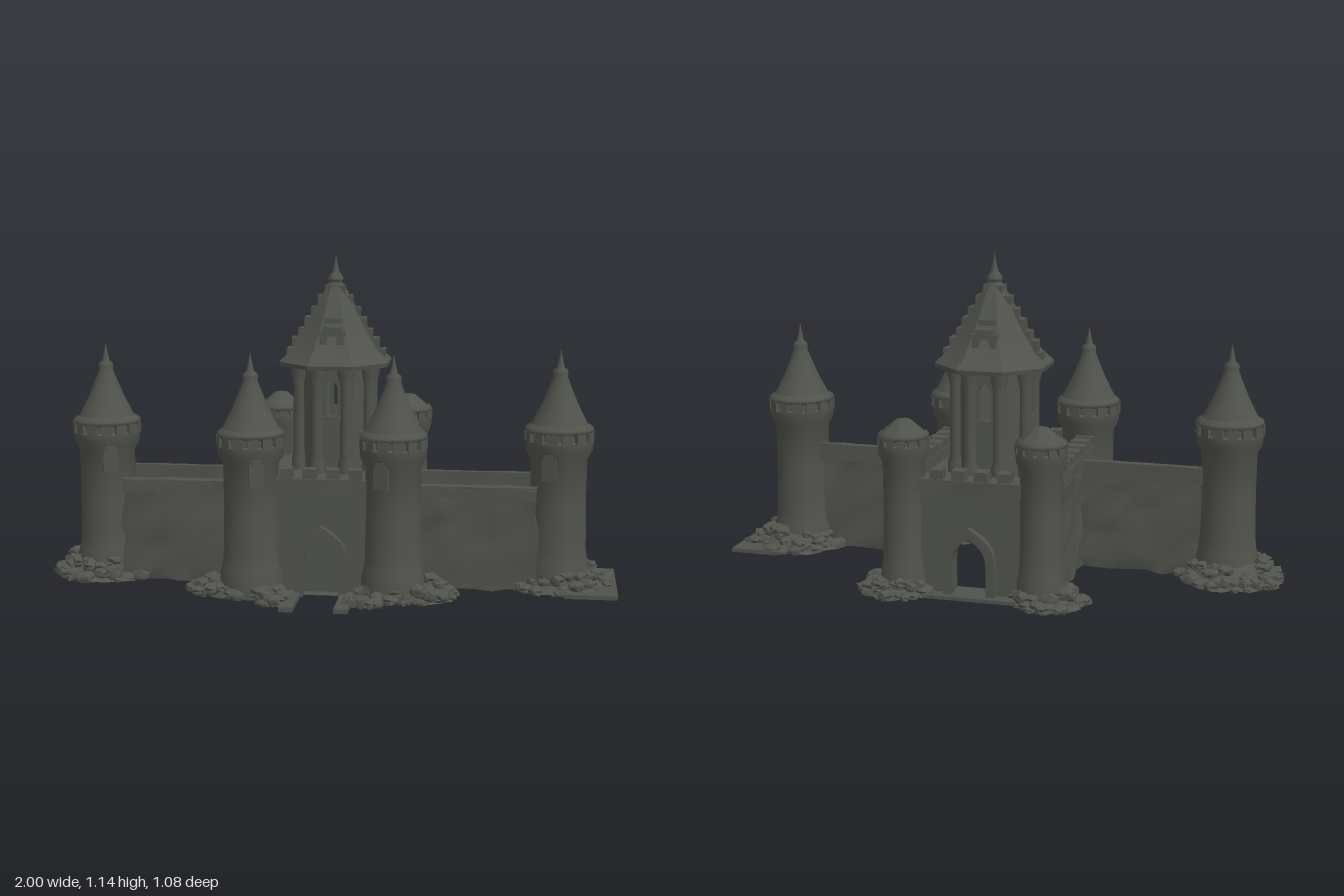
import * as THREE from 'three';
import { mergeGeometries, toCreasedNormals } from 'three/addons/utils/BufferGeometryUtils.js';

// Repeatable noise from a position, and a seeded sequence
const hash = (x, y, z) => {
  const s = Math.sin(x * 127.1 + y * 311.7 + z * 74.7) * 43758.5453;
  return s - Math.floor(s);
};
let seed = 7;
const rnd = (a = 0, b = 1) => {
  seed = (seed * 16807) % 2147483647;
  return a + (b - a) * (seed / 2147483647);
};

// Moves vertices a little; equal positions move together
function roughen(geo, amount) {
  const p = geo.attributes.position;
  for (let i = 0; i < p.count; i++) {
    const q = [p.getX(i), p.getY(i), p.getZ(i)].map(v => Math.round(v * 1000) / 1000 + 0);
    p.setXYZ(i, q[0] + (hash(q[0], q[1], q[2]) - 0.5) * amount,
      q[1] + (hash(q[1], q[2], q[0]) - 0.5) * amount * 0.4,
      q[2] + (hash(q[2], q[0], q[1]) - 0.5) * amount);
  }
  geo.computeVertexNormals();
  return geo;
}

// Box given by its limits
function block(x0, x1, y0, y1, z0, z1, rough = 0, step = 0.05) {
  const n = d => (rough ? Math.max(1, Math.round(d / step)) : 1);
  const w = x1 - x0, h = y1 - y0, d = z1 - z0;
  const g = new THREE.BoxGeometry(w, h, d, n(w), n(h), n(d));
  g.translate((x0 + x1) / 2, (y0 + y1) / 2, (z0 + z1) / 2);
  return rough ? roughen(g, rough) : g;
}

// Pointed arch outline, half width w, spring height s, apex height t
function arch(path, w, y0, s, t) {
  path.moveTo(-w, y0);
  path.lineTo(-w, s);
  path.quadraticCurveTo(-w, (s + t) / 2 + 0.01, 0, t);
  path.quadraticCurveTo(w, (s + t) / 2 + 0.01, w, s);
  path.lineTo(w, y0);
  return path;
}

// Wall with an arched opening, front at z = depth
function archedWall(halfWidth, y0, y1, w, base, spring, top, depth) {
  const s = new THREE.Shape();
  s.moveTo(-halfWidth, y0); s.lineTo(halfWidth, y0);
  s.lineTo(halfWidth, y1); s.lineTo(-halfWidth, y1);
  s.closePath();
  const hole = arch(new THREE.Path(), w, base, spring, top);
  hole.closePath();
  s.holes.push(hole);
  return new THREE.ExtrudeGeometry(s, { depth, bevelEnabled: false, curveSegments: 6 });
}

const lathe = (pts, sides = 28, start = 0) =>
  new THREE.LatheGeometry(pts.map(p => new THREE.Vector2(...p)), sides, start);

export function createModel() {
  const root = new THREE.Group();
  const stone = new THREE.MeshStandardMaterial({ color: 0x50524c });
  stone.name = 'dark stone';

  function add(name, geos, parent = root) {
    const list = [].concat(geos).map(g => (g.index ? g.toNonIndexed() : g));
    const m = new THREE.Mesh(mergeGeometries(list), stone);
    m.name = name;
    parent.add(m);
    return m;
  }

  // Round tower: shaft, crown with battlements, roof
  function tower(name, x, z, r, spire) {
    const g = new THREE.Group();
    g.name = name;
    const k = r / 0.1, top = spire ? 0.56 : 0.55;
    add('shaft', toCreasedNormals(lathe([[0.112 * k, 0], [0.112 * k, 0.07], [0.104 * k, 0.1], [0.099 * k, 0.14],
      [0.096 * k, 0.3], [0.098 * k, 0.45], [0.116 * k, 0.482], [0.118 * k, 0.515], [0.108 * k, 0.52],
      [0.108 * k, top], [0, top + 0.01]]), 0.6), g);
    const merlons = [];
    for (let i = 0; i < 14; i++) {
      const m = block(-0.018 * k, 0.018 * k, 0.512, top - 0.012, 0.1 * k, 0.12 * k);
      merlons.push(m.rotateY((i + 0.5) * Math.PI / 7));
    }
    merlons.push(lathe([[0.1 * k, top - 0.018], [0.119 * k, top - 0.015], [0.118 * k, top], [0.1 * k, top + 0.012]]));
    add('battlements', merlons, g);
    add('roof', spire
      ? lathe([[0.102, 0.562], [0.087, 0.59], [0.062, 0.64], [0.041, 0.69], [0.024, 0.735], [0.027, 0.745],
        [0.023, 0.758], [0.013, 0.765], [0.007, 0.795], [0, 0.83]])
      : toCreasedNormals(lathe([[0.075, 0.555], [0.025, 0.597], [0, 0.602]], 8), 0.4), g);
    if (spire) {
      const side = Math.sign(x);
      add('windowBay', [block(-0.025, 0.025, 0.385, 0.46, 0.06, 0.104),
        block(-0.016, 0.016, 0.46, 0.48, 0.06, 0.112)].map(b => b.rotateY(-side * 0.35)), g);
    }
    g.position.set(x, 0, z);
    root.add(g);
  }

  // Heap of rocks on a low ragged mound
  function rubble(name, x, z, rx, rz, count) {
    const geos = [];
    const mound = new THREE.CylinderGeometry(0.8, 0.94, 0.02, 26);
    mound.translate(0, 0.01, 0).scale(rx, 1, rz);
    geos.push(roughen(mound, 0.03).translate(x, 0.002, z));
    const rise = 0.36 * Math.min(rx, rz);
    const heap = new THREE.CylinderGeometry(0.5, 0.82, rise, 20, 3).scale(rx, 1, rz);
    geos.push(roughen(heap, 0.02).translate(x, rise / 2, z));
    for (let i = 0; i < count; i++) {
      const a = i * 2.4 + rnd(-0.2, 0.2), t = rnd(0.55, 0.95), s = rnd(0.014, 0.032);
      const rock = roughen(new THREE.IcosahedronGeometry(1, 1), 0.45);
      rock.scale(s * rnd(0.8, 1.4), s * 0.75, s);
      rock.rotateY(rnd(0, 6));
      const lift = Math.max(0, 0.85 - t) * rise * 3;
      rock.translate(x + Math.cos(a) * rx * t, s * 0.45 + lift, z + Math.sin(a) * rz * t);
      geos.push(rock);
    }
    geos.forEach(g => {
      const p = g.attributes.position;
      for (let i = 0; i < p.count; i++) {
        p.setY(i, Math.max(0, p.getY(i)));
        p.setX(i, THREE.MathUtils.clamp(p.getX(i), -1, 1));
      }
      g.computeVertexNormals();
    });
    add(name, geos);
  }

  for (const s of [-1, 1]) {
    const n = s > 0 ? 'left' : 'right';
    tower(n + 'OuterTower', s * 0.795, 0.07, 0.099, true);
    tower(n + 'FrontTower', s * 0.242, 0.29, 0.096, true);
    tower(n + 'RearTower', s * 0.24, -0.388, 0.073, false);
    rubble(n + 'OuterRubble', s * 0.81, 0.055, 0.19, 0.185, 80);
    rubble(n + 'FrontRubble', s * 0.3, 0.285, 0.165, 0.125, 60);
    rubble(n + 'GateRubble', s * 0.155, 0.39, 0.06, 0.085, 18);
    rubble(n + 'RearRubble', s * 0.265, -0.405, 0.13, 0.12, 55);

    // Curtain wall with walkway, rear parapet and ragged front lip
    const x0 = s > 0 ? 0.27 : -0.72, x1 = x0 + 0.45;
    const lip = [];
    for (let i = 0; i < 15; i++) {
      lip.push(block(x0 + i * 0.03, x0 + i * 0.03 + 0.031, 0.312 + 0.024 * hash(i, s, 1), 0.352, 0.14, 0.17 + 0.012 * hash(i, s, 2)));
    }
    add(n + 'CurtainWall', [block(x0, x1, 0, 0.345, 0.04, 0.16, 0.024), ...lip]);
    add(n + 'CurtainParapet', [block(x0, x1, 0.33, 0.392, 0.025, 0.05, 0.006), block(x0, x1, 0.34, 0.362, 0.135, 0.175, 0.006)]);

    // Side wall of the keep with battlements
    const xs = [s * 0.225, s * 0.28].sort((a, b) => a - b);
    const merlons = [block(xs[0] - 0.008, xs[1] + 0.008, 0.362, 0.41, -0.36, 0.27, 0.004)];
    for (let i = 0; i < 7; i++) {
      const z = -0.3 + i * 0.08;
      merlons.push(block(xs[0] - 0.005, xs[1] + 0.005, 0.405, 0.442, z, z + 0.055, 0.005));
    }
    add(n + 'KeepWall', block(xs[0], xs[1], 0, 0.37, -0.38, 0.28, 0.026));
    add(n + 'KeepBattlements', merlons);
    const rail = [s * 0.068, s * 0.115].sort((a, b) => a - b);
    add(n + 'GatePathEdge', block(rail[0], rail[1], 0, 0.016, 0.3, 0.53));
  }

  // Flat paving beside the left outer tower
  add('cornerSlab', block(0.82, 1, 0, 0.014, -0.14, 0.25));

  // Front and rear gate walls, rear one open
  const front = archedWall(0.18, 0, 0.37, 0.062, 0.002, 0.12, 0.21, 0.07).translate(0, 0, 0.235);
  const rear = archedWall(0.22, 0, 0.37, 0.065, 0.012, 0.12, 0.22, 0.06).translate(0, 0, -0.41);
  add('frontGateWall', front);
  add('rearGateWall', rear);
  const frame = arch(new THREE.Shape(), 0.09, 0, 0.13, 0.245);
  frame.lineTo(0.06, 0);
  frame.lineTo(0.06, 0.12);
  frame.quadraticCurveTo(0.06, 0.175, 0, 0.21);
  frame.quadraticCurveTo(-0.06, 0.175, -0.06, 0.12);
  frame.lineTo(-0.06, 0);
  const frameGeo = new THREE.ExtrudeGeometry(frame, { depth: 0.04, bevelEnabled: false, curveSegments: 6 });
  add('frontGateFrame', frameGeo.clone().translate(0, 0, 0.295));
  add('rearGateFrame', frameGeo.clone().translate(0, 0, -0.435));
  add('gateDoor', block(-0.07, 0.07, 0, 0.22, 0.245, 0.26));
  const parapets = [block(-0.16, 0.16, 0.358, 0.405, 0.235, 0.325, 0.006), block(-0.2, 0.2, 0.358, 0.405, -0.425, -0.345, 0.006)];
  for (let i = 0; i < 4; i++) {
    const x = -0.14 + i * 0.078;
    parapets.push(block(x, x + 0.045, 0.4, 0.438, 0.275, 0.32, 0.005), block(x, x + 0.045, 0.4, 0.438, -0.42, -0.37, 0.005));
  }
  add('gateBattlements', parapets);

  // Deck inside the battlements, rear threshold and underside
  add('deck', block(-0.23, 0.23, 0.355, 0.37, -0.36, 0.25));
  add('rearThreshold', block(-0.19, 0.19, 0, 0.012, -0.46, -0.34));
  add('underside', new THREE.PlaneGeometry(0.56, 0.72).rotateX(Math.PI / 2).translate(0, 0.002, -0.06));

  // Octagonal lantern tower, windows on the four main sides only
  const lantern = new THREE.Group();
  lantern.name = 'lanternTower';
  lantern.position.z = -0.11;
  root.add(lantern);
  const panels = [], columns = [];
  for (let i = 0; i < 8; i++) {
    const a = i * Math.PI / 4;
    if (i % 2) {
      panels.push(block(-0.05, 0.05, 0.36, 0.745, 0.1, 0.118).rotateY(a));
    } else {
      panels.push(archedWall(0.053, 0.36, 0.745, 0.021, 0.575, 0.665, 0.7, 0.022).translate(0, 0, 0.105).rotateY(a));
      panels.push(block(-0.05, 0.05, 0.558, 0.573, 0.11, 0.137).rotateY(a));
    }
    columns.push(lathe([[0.029, 0.37], [0.029, 0.41], [0.022, 0.43], [0.021, 0.68], [0.03, 0.715], [0.032, 0.75]], 10)
      .translate(0, 0, 0.135).rotateY(a + Math.PI / 8));
  }
  add('arcade', panels, lantern);
  add('columns', columns, lantern);
  const c = 1 / Math.cos(Math.PI / 8);
  const roof = lathe([[0, 0.735], [0.14, 0.735], [0.19, 0.742], [0.193, 0.757], [0.15, 0.8], [0.115, 0.86], [0.082, 0.92],
    [0.05, 0.985], [0.022, 1.035], [0.026, 1.045], [0.022, 1.058], [0.012, 1.07], [0.006, 1.1], [0, 1.135]]
    .map(([r, y]) => [r * c, y]), 8, Math.PI / 8);
  add('lanternRoof', toCreasedNormals(roof, 0.5), lantern);

  // Stepped stone fins across the roof
  const fins = [];
  for (const s of [-1, 1]) {
    for (const [r, y] of [[0.176, 0.8], [0.155, 0.84], [0.133, 0.872], [0.11, 0.912], [0.086, 0.948], [0.06, 0.99], [0.036, 1.025]]) {
      const xs = [0, s * r].sort((p, q) => p - q);
      fins.push(block(xs[0], xs[1], 0.75, y, -0.028, 0.028, 0.006));
    }
  }
  add('steppedFins', fins, lantern);

  // Dormers on the front and rear roof faces
  for (const turn of [0, Math.PI]) {
    const d = new THREE.Group();
    d.name = 'dormer';
    d.rotation.y = turn;
    lantern.add(d);
    add('dormerFace', archedWall(0.042, 0.79, 0.86, 0.018, 0.805, 0.84, 0.855, 0.02).translate(0, 0, 0.115), d);
    add('dormerBack', block(-0.042, 0.042, 0.79, 0.875, 0.03, 0.117), d);
    add('dormerSteps', [block(-0.048, 0.048, 0.858, 0.872, 0.06, 0.142), block(-0.03, 0.03, 0.87, 0.888, 0.06, 0.14),
      block(-0.03, 0.03, 0.87, 0.915, 0.02, 0.095)], d);
  }
  return root;
}
